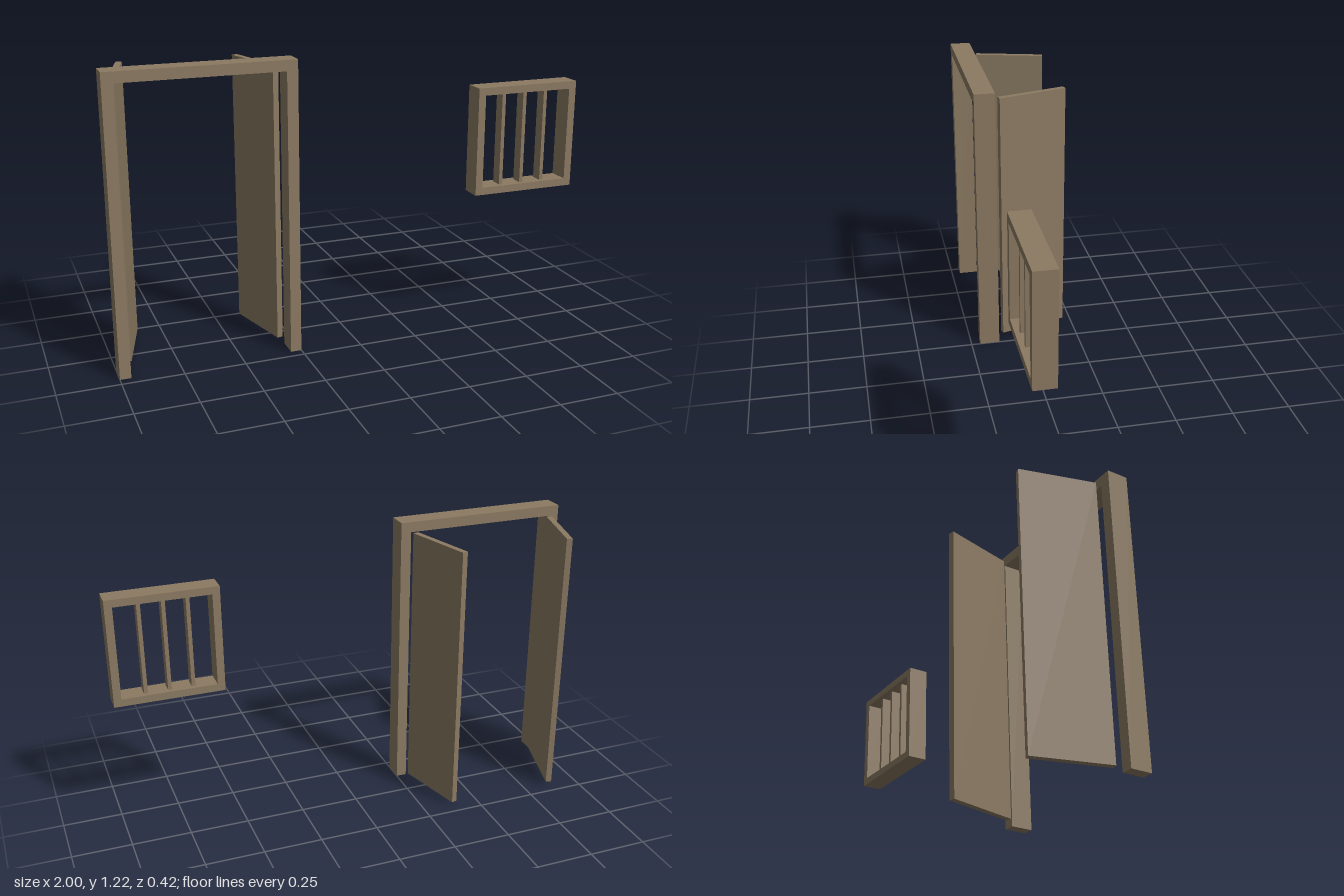
import * as THREE from 'three';

export function createModel() {
  const model = new THREE.Group();
  const wood = new THREE.MeshStandardMaterial({ color: 0x8b7a62 });
  wood.name = 'brown wood';

  // Extruded outline with an optional opening, centred on the given depth
  function frame(name, outline, opening, depth, z) {
    const toPoints = (list) => list.map(([x, y]) => new THREE.Vector2(x, y));
    const shape = new THREE.Shape(toPoints(outline));
    if (opening) shape.holes.push(new THREE.Path(toPoints(opening)));
    const geometry = new THREE.ExtrudeGeometry(shape, { depth, bevelEnabled: false });
    geometry.translate(0, 0, z - depth / 2);
    const mesh = new THREE.Mesh(geometry, wood);
    mesh.name = name;
    model.add(mesh);
  }

  function box(name, size, position, turn = 0) {
    const mesh = new THREE.Mesh(new THREE.BoxGeometry(...size), wood);
    mesh.name = name;
    mesh.position.set(...position);
    mesh.rotation.y = turn;
    model.add(mesh);
  }

  const depth = 0.09, z = 0.165;

  // Door frame: two posts and a lintel, open at the floor
  frame('doorFrame', [
    [-1, 0], [-0.955, 0], [-0.955, 1.173], [-0.295, 1.173],
    [-0.295, 0], [-0.25, 0], [-0.25, 1.217], [-1, 1.217],
  ], null, depth, z);

  // Pair of door leaves, mirrored about the middle of the doorway
  for (const side of [-1, 1]) {
    box(side < 0 ? 'rightDoor' : 'leftDoor', [0.025, 1.157, 0.314],
      [-0.625 + side * 0.279, 0.5985, -0.055], side * Math.PI / 12);
  }

  // Window frame
  frame('windowFrame',
    [[0.537, 0.583], [1, 0.583], [1, 1.045], [0.537, 1.045]],
    [[0.569, 0.615], [0.569, 1.013], [0.968, 1.013], [0.968, 0.615]], depth, z);

  // Upright window bars
  for (let i = -1; i <= 1; i++) {
    box('windowBar', [0.016, 0.398, 0.05], [0.7655 + i * 0.099, 0.814, z]);
  }

  return model;
}
